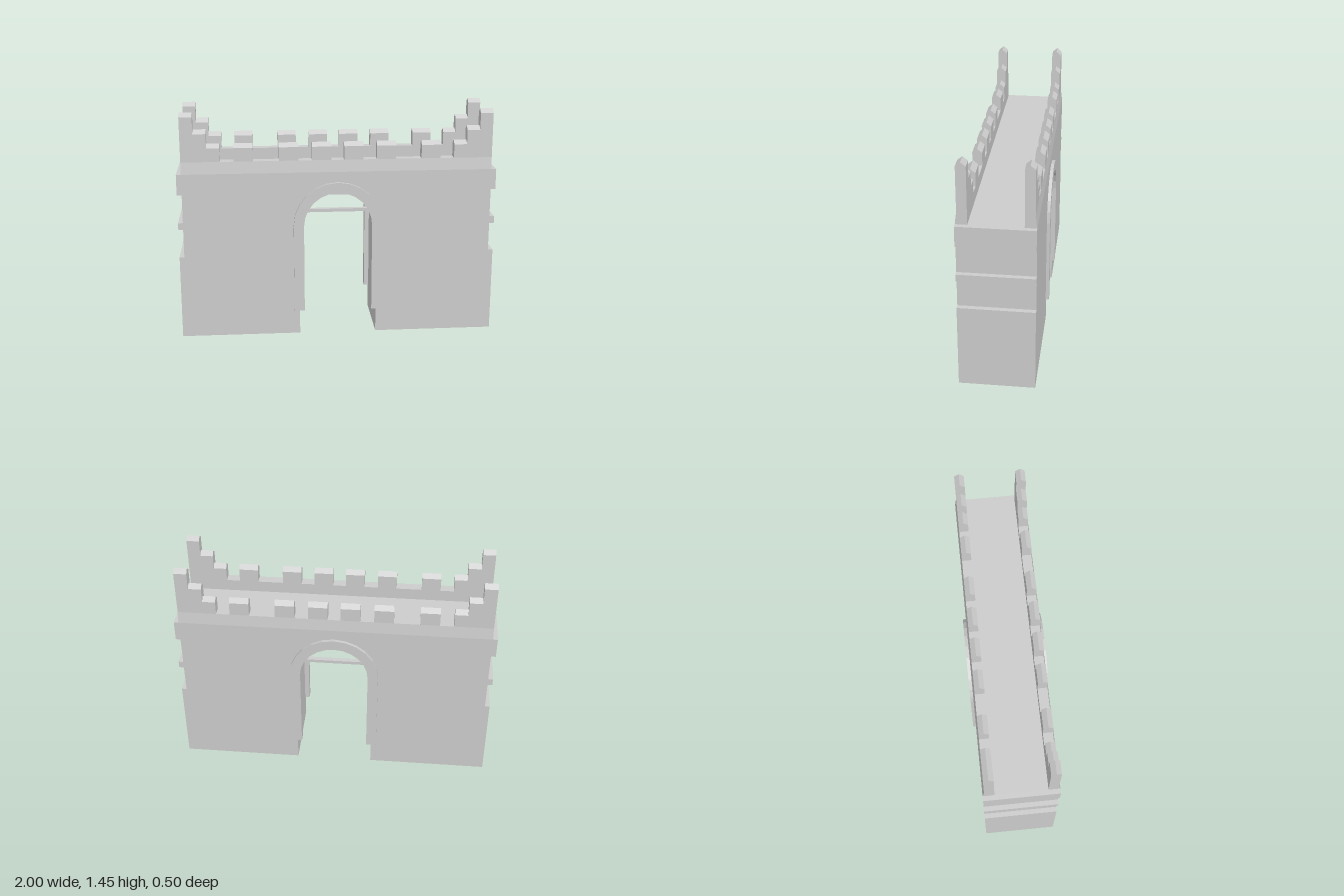
import * as THREE from 'three';

const grey = new THREE.MeshStandardMaterial({ color: 0xcccccc, flatShading: true });
const thin = new THREE.MeshStandardMaterial({ color: 0xcccccc, flatShading: true, side: THREE.DoubleSide });

const HALF_DEPTH = 0.23, WALL_X = 0.97, DECK_Y = 1.07, PARAPET_Y = 1.145;
const SPRING_Y = 0.725, OPENING_R = 0.245, ARCH_STEPS = 12;

function add(parent, name, geometry, material = grey) {
  const mesh = new THREE.Mesh(geometry, material);
  mesh.name = name;
  parent.add(mesh);
  return mesh;
}

function box(parent, name, x0, x1, y0, y1, z0, z1) {
  const mesh = add(parent, name, new THREE.BoxGeometry(x1 - x0, y1 - y0, z1 - z0));
  mesh.position.set((x0 + x1) / 2, (y0 + y1) / 2, (z0 + z1) / 2);
}

// Half circle of points from the right spring to the left spring
function arc(r) {
  return Array.from({ length: ARCH_STEPS + 1 }, (_, i) => {
    const a = (i / ARCH_STEPS) * Math.PI;
    return new THREE.Vector2(r * Math.cos(a), SPRING_Y + r * Math.sin(a));
  });
}

// Open sheet: an x-y path swept through the depth of the gate
function sheet(path) {
  const pos = [], d = HALF_DEPTH;
  for (let i = 0; i < path.length - 1; i++) {
    const a = path[i], b = path[i + 1];
    pos.push(a.x, a.y, d, a.x, a.y, -d, b.x, b.y, -d);
    pos.push(a.x, a.y, d, b.x, b.y, -d, b.x, b.y, d);
  }
  const g = new THREE.BufferGeometry();
  g.setAttribute('position', new THREE.Float32BufferAttribute(pos, 3));
  g.computeVertexNormals();
  return g;
}

// Solid with a z-y profile running along x
function along(profile, x0, x1) {
  const shape = new THREE.Shape(profile.map(([z, y]) => new THREE.Vector2(z, y)));
  const g = new THREE.ExtrudeGeometry(shape, { depth: x1 - x0, bevelEnabled: false });
  return g.rotateY(-Math.PI / 2).translate(x1, 0, 0);
}

// One long side: wall, parapet, battlements and doorway trim
function createFace() {
  const face = new THREE.Group();
  const v = (x, y) => new THREE.Vector2(x, y);

  const wall = new THREE.Shape([
    v(OPENING_R, 0), v(WALL_X, 0), v(WALL_X, DECK_Y), v(-WALL_X, DECK_Y), v(-WALL_X, 0), v(-OPENING_R, 0),
    ...arc(OPENING_R).reverse(),
  ]);
  add(face, 'wall', new THREE.ShapeGeometry(wall), thin).position.z = HALF_DEPTH;

  // Parapet leaning in above the deck
  add(face, 'parapet', along(
    [[0.16, DECK_Y], [HALF_DEPTH, DECK_Y], [0.22, PARAPET_Y], [0.16, PARAPET_Y]], -WALL_X, WALL_X));

  // Merlons with ridged tops, stepping up towards the corners
  const merlons = [
    [0.04, 0.16, 1.255], [0.245, 0.365, 1.255], [0.525, 0.645, 1.255],
    [0.73, 0.81, 1.255], [0.81, 0.89, 1.345], [0.89, WALL_X, 1.45],
  ];
  for (const [x0, x1, h] of merlons) {
    const profile = [[0.16, PARAPET_Y], [0.22, PARAPET_Y], [0.22, h - 0.025], [0.19, h], [0.16, h - 0.025]];
    add(face, 'merlon', along(profile, x0, x1));
    add(face, 'merlon', along(profile, -x1, -x0));
  }

  // Doorway trim: arch ring on two posts
  const ring = new THREE.Shape([
    v(0.28, 0.7), ...arc(0.28), v(-0.28, 0.7), v(-0.215, 0.7), ...arc(0.215).reverse(), v(0.215, 0.7),
  ]);
  const trim = new THREE.ExtrudeGeometry(ring, { depth: 0.05, bevelEnabled: false });
  add(face, 'archTrim', trim).position.z = 0.2;
  for (const x of [0.215, -0.28]) box(face, 'trimPost', x, x + 0.065, 0.16, 0.7, 0.2, 0.25);

  // Crossbar under the arch
  box(face, 'crossbar', -0.235, 0.235, 0.81, 0.83, 0.19, 0.22);
  return face;
}

export function createModel() {
  const gate = new THREE.Group();
  gate.name = 'castleGate';

  const front = createFace();
  front.name = 'frontSide';
  const back = createFace();
  back.name = 'backSide';
  back.rotation.y = Math.PI;
  gate.add(front, back);

  // End walls with the deck, and the passage lining; the underside stays open
  const shell = [[WALL_X, 0], [WALL_X, DECK_Y], [-WALL_X, DECK_Y], [-WALL_X, 0]];
  add(gate, 'endsAndDeck', sheet(shell.map(([x, y]) => new THREE.Vector2(x, y))), thin);
  add(gate, 'passage', sheet([
    new THREE.Vector2(OPENING_R, 0), ...arc(OPENING_R), new THREE.Vector2(-OPENING_R, 0),
  ]), thin);

  // Raised bands on both ends
  for (const [y0, y1] of [[0, 0.535], [0.715, 0.76], [0.94, DECK_Y]]) {
    box(gate, 'endBand', WALL_X, 1, y0, y1, -HALF_DEPTH, HALF_DEPTH);
    box(gate, 'endBand', -1, -WALL_X, y0, y1, -HALF_DEPTH, HALF_DEPTH);
  }
  return gate;
}
